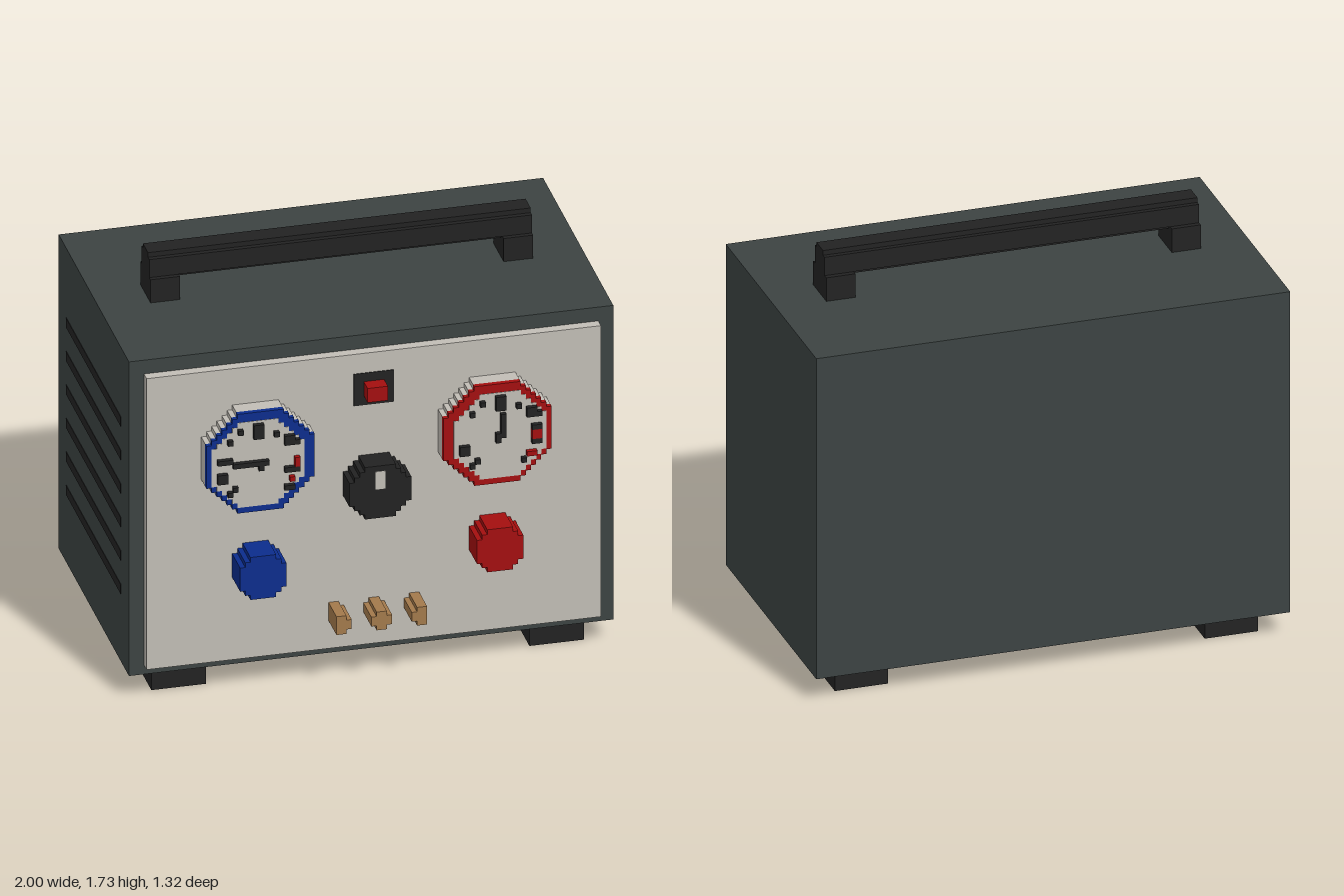
import * as THREE from 'three';

const U = 2 / 94; // size of one block
const mat = (name, color) => {
  const m = new THREE.MeshStandardMaterial({ color });
  m.name = name;
  return m;
};

export function createModel() {
  const model = new THREE.Group();
  model.name = 'controlBox';
  const casing = mat('slate casing', 0x3c4342);
  const cream = mat('cream panel', 0xc1bdb5);
  const black = mat('black', 0x222222);
  const blue = mat('blue', 0x0b2c8c);
  const red = mat('red', 0xa30e0f);
  const brass = mat('brass', 0xa2794b);

  // Box given by its limits on each axis
  function box(name, material, x0, x1, y0, y1, z0, z1, parent = model) {
    const mesh = new THREE.Mesh(new THREE.BoxGeometry(x1 - x0, y1 - y0, z1 - z0), material);
    mesh.position.set((x0 + x1) / 2, (y0 + y1) / 2, (z0 + z1) / 2);
    mesh.name = name;
    parent.add(mesh);
    return mesh;
  }

  // Octagonal disc with stepped corners: w x h blocks, corners cut by a number of blocks
  function steppedDisc(name, material, w, h, cut, x, y, z0, z1) {
    const quarter = [];
    for (let i = 0; i <= cut; i++) {
      quarter.push([w / 2 - i, h / 2 - cut + i]);
      if (i < cut) quarter.push([w / 2 - i - 1, h / 2 - cut + i]);
    }
    const back = [...quarter].reverse();
    const pts = [
      ...quarter,
      ...back.map(([a, b]) => [-a, b]),
      ...quarter.map(([a, b]) => [-a, -b]),
      ...back.map(([a, b]) => [a, -b]),
    ].map(([a, b]) => new THREE.Vector2(a * U, b * U));
    const geo = new THREE.ExtrudeGeometry(new THREE.Shape(pts), { depth: z1 - z0, bevelEnabled: false });
    const mesh = new THREE.Mesh(geo, material);
    mesh.position.set(x, y, z0);
    mesh.name = name;
    model.add(mesh);
  }

  // Casing and front panel
  box('casing', casing, -1, 1, 0.106, 1.522, -0.656, 0.487);
  box('frontPanel', cream, -0.938, 0.938, 0.148, 1.46, 0.487, 0.53);

  // Vent slots on one side
  for (let i = 0; i < 6; i++) {
    const y = 1.21 - i * 0.151;
    box('ventSlot', black, -1.002, -0.99, y - 0.043, y, -0.53, 0.36);
  }

  // Feet and handle posts
  for (const s of [-1, 1]) {
    const [a, b] = s > 0 ? [0.668, 0.893] : [-0.893, -0.668];
    box('frontFoot', black, a, b, 0, 0.106, 0.264, 0.43);
    box('backFoot', black, a, b, 0, 0.106, -0.57, -0.428);
    const [c, d] = s > 0 ? [0.668, 0.79] : [-0.79, -0.668];
    box('handlePost', black, c, d, 1.522, 1.626, -0.155, 0.011);
  }

  // Handle bar with stepped edges
  box('handleBar', black, -0.79, 0.79, 1.626, 1.707, -0.133, -0.009);
  box('handleTop', black, -0.79, 0.79, 1.707, 1.728, -0.113, -0.03);
  box('handleUnderside', black, -0.79, 0.79, 1.61, 1.626, -0.113, -0.03);

  // Gauge marks in blocks from the dial centre: x0, x1, y0, y1
  const ticks = [
    [-1, 1, 5.5, 8.5], [-4, -3, 6.7, 7.7], [3, 4, 5.5, 6.5], [-6, -5, 4.7, 5.7],
    [5, 8, 3.5, 4.5], [5, 7, 4.5, 5.5], [-8, -6, -3.25, -1.25], [6, 8, -2.25, -1.2],
    [-5, -4, -5.25, -4.25], [-6, -5, -6.2, -5.2],
  ];
  const gauges = [
    { s: -1, color: blue,
      dark: [[-8, -5, 0.75, 1.75], [-5, 2, -0.25, 0.75], [0, 1, -1.25, -0.25], [5, 6, -2.25, -1.2], [5, 7, -6, -5]],
      bright: [[7, 8, -1.2, 0.75], [6, 7, -4.25, -3.25]] },
    { s: 1, color: red,
      dark: [[0, 1, -0.25, 4.75], [-1, 0, -1.25, 0.75], [6, 8, 0.75, 1.75], [4, 5, -6, -5]],
      bright: [[6, 8, -1.2, 0.75], [5, 7, -4.75, -3.75]] },
  ];
  for (const { s, color, dark, bright } of gauges) {
    const rx = s * 0.489, fx = s * 0.5, fy = 1.067;
    steppedDisc('gaugeBody', cream, 21, 21, 6, rx, 1.073, 0.53, 0.594);
    steppedDisc('gaugeRim', color, 21, 21, 6, rx, 1.073, 0.594, 0.615);
    steppedDisc('gaugeFace', cream, 18, 18, 5, fx, fy, 0.612, 0.617);
    const mark = (name, m) => ([x0, x1, y0, y1]) =>
      box(name, m, fx + x0 * U, fx + x1 * U, fy + y0 * U, fy + y1 * U, 0.616, 0.637);
    ticks.forEach(mark('gaugeTick', black));
    dark.forEach(mark('gaugeNeedle', black));
    bright.forEach(mark('gaugeWarningMark', red));
    // Push knob below each gauge
    steppedDisc('pushKnob', color, 9, 9, 2, rx, 0.573, 0.53, 0.66);
  }

  // Centre dial with pointer
  steppedDisc('centreDial', black, 12, 11, 3, 0, 0.885, 0.53, 0.638);
  box('dialPointer', cream, -0.021, 0.021, 0.898, 0.978, 0.634, 0.64);

  // Power switch
  box('switchPlate', black, -0.083, 0.083, 1.228, 1.372, 0.526, 0.533);
  box('switchButton', red, -0.042, 0.042, 1.27, 1.334, 0.53, 0.595);

  // Terminals
  box('terminalCentre', brass, -0.021, 0.021, 0.274, 0.356, 0.53, 0.66);
  for (const s of [-1, 1]) {
    const span = (a, b) => (s > 0 ? [a, b] : [-b, -a]);
    box('terminalCentreArm', brass, ...span(0.021, 0.043), 0.294, 0.336, 0.53, 0.66);
    box('terminalSide', brass, ...span(0.146, 0.187), 0.274, 0.356, 0.53, 0.66);
    box('terminalSideArm', brass, ...span(0.124, 0.146), 0.294, 0.336, 0.53, 0.66);
  }
  return model;
}
